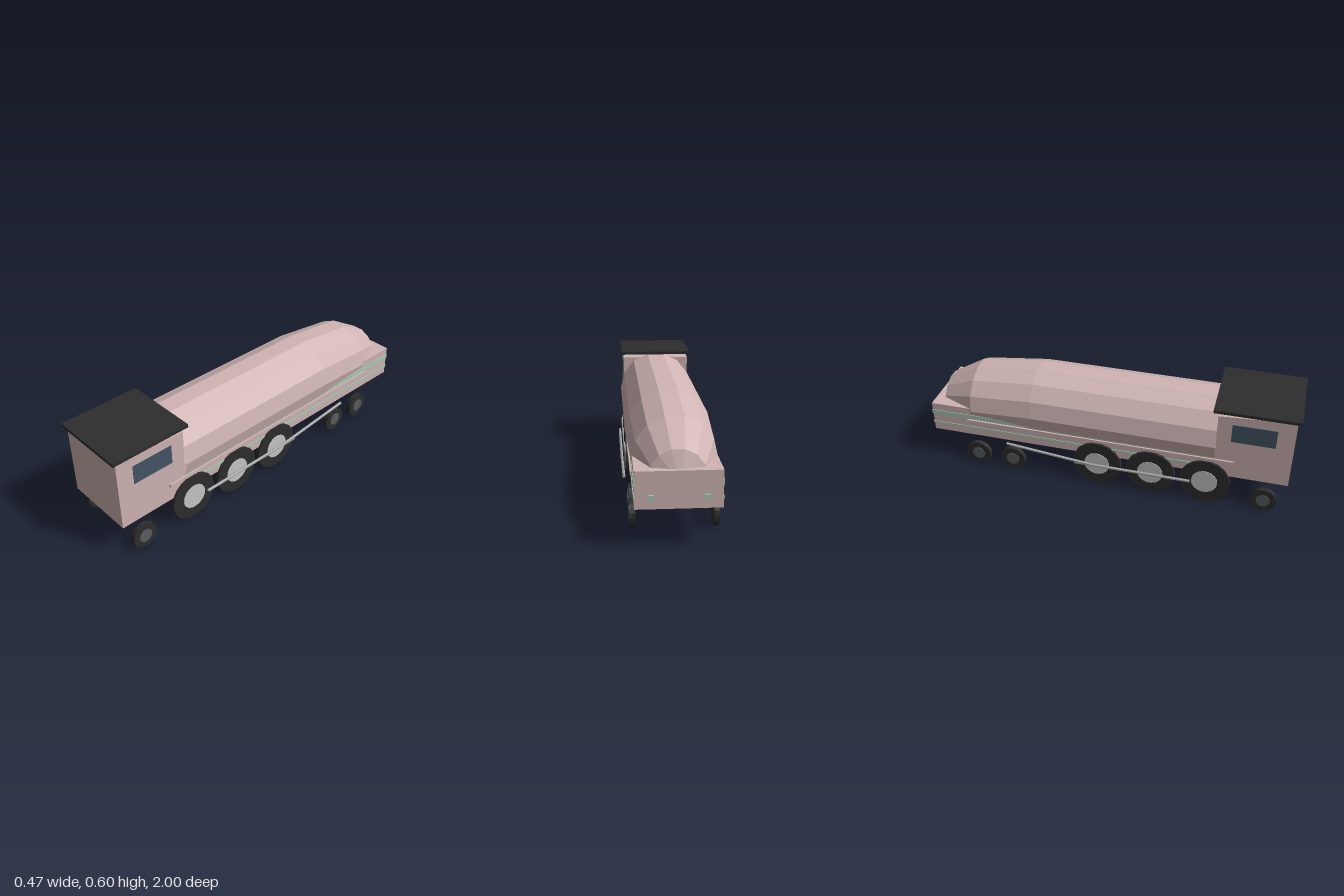
import * as THREE from 'three';

const mat = (name, color) => {
  const m = new THREE.MeshStandardMaterial({ color });
  m.name = name;
  return m;
};

export function createModel() {
  const model = new THREE.Group();
  model.name = 'locomotive';
  const pink = mat('dusty pink paint', 0xd0b5b4);
  const black = mat('black iron', 0x2d2d2d);
  const silver = mat('silver hub', 0xc6c6c6);
  const steel = mat('rod steel', 0xa4a4a4);
  const darkGrey = mat('dark grey hub', 0x5a5e60);
  const glass = mat('blue grey glass', 0x445566);
  const green = mat('pale green trim', 0xa6cdb4);

  const add = (name, geometry, material, x = 0, y = 0, z = 0) => {
    const mesh = new THREE.Mesh(geometry, material);
    mesh.name = name;
    mesh.position.set(x, y, z);
    model.add(mesh);
    return mesh;
  };
  // Box given by its limits on each axis
  const box = (name, material, x0, x1, y0, y1, z0, z1) =>
    add(name, new THREE.BoxGeometry(x1 - x0, y1 - y0, z1 - z0), material,
      (x0 + x1) / 2, (y0 + y1) / 2, (z0 + z1) / 2);

  // Lower hull and underframe
  box('hull', pink, -0.195, 0.195, 0.187, 0.36, -0.99, 0.6);
  box('underframe', black, -0.145, 0.145, 0.165, 0.188, -0.94, 0.93);
  box('bellyPlate', pink, -0.05, 0.05, 0.162, 0.166, -0.74, 0.52);

  // Cab with a top that falls towards the boiler
  const side = new THREE.Shape([[-0.98, 0.186], [-0.59, 0.186], [-0.59, 0.56], [-0.98, 0.584]]
    .map(([z, y]) => new THREE.Vector2(z, y)));
  const cab = new THREE.ExtrudeGeometry(side, { depth: 0.39, bevelEnabled: false });
  cab.translate(0, 0, -0.195).rotateY(Math.PI / 2);
  add('cab', cab, pink);
  box('cabRoof', black, -0.208, 0.208, 0.583, 0.6, 0.565, 1);

  // Faceted boiler: rings of [z, centre height, radius], closed by a shallow nose cone
  const rings = [[0.59, 0.372, 0.215], [-0.41, 0.372, 0.215], [-0.76, 0.345, 0.2],
    [-0.94, 0.31, 0.133], [-0.988, 0.305, 0.001]];
  const sides = 14;
  const point = (i, j) => {
    const [z, y, r] = rings[i];
    const a = (j / sides) * Math.PI * 2;
    return [Math.cos(a) * r, y + Math.sin(a) * r, z];
  };
  const verts = [];
  for (let i = 0; i < rings.length - 1; i++) {
    for (let j = 0; j < sides; j++) {
      const a = point(i, j), b = point(i + 1, j), c = point(i + 1, j + 1), d = point(i, j + 1);
      verts.push(...a, ...b, ...d, ...b, ...c, ...d);
    }
  }
  const boiler = new THREE.BufferGeometry();
  boiler.setAttribute('position', new THREE.Float32BufferAttribute(verts, 3));
  boiler.computeVertexNormals();
  add('boiler', boiler, pink);

  // Wheel: faceted tyre with a hub disc on its outer face
  const wheel = (name, s, z, r, hubR, hubMaterial) => {
    const tyre = new THREE.CylinderGeometry(r, r, 0.025, 18).toNonIndexed();
    tyre.computeVertexNormals();
    add(name, tyre, black, s * 0.195, r, z).rotation.z = Math.PI / 2;
    add(name + 'Hub', new THREE.CylinderGeometry(hubR, hubR, 0.008, 18), hubMaterial,
      s * 0.207, r, z).rotation.z = Math.PI / 2;
  };
  // Six-sided rod between two [y, z] points
  const rod = (name, s, [y0, z0], [y1, z1]) => {
    const length = Math.hypot(y1 - y0, z1 - z0);
    const g = new THREE.CylinderGeometry(0.008, 0.008, length, 6).toNonIndexed();
    g.computeVertexNormals();
    add(name, g, steel, s * 0.227, (y0 + y1) / 2, (z0 + z1) / 2)
      .rotation.x = Math.atan2(z1 - z0, y1 - y0);
  };

  for (const s of [1, -1]) {
    const mirrored = (name, material, x0, x1, ...rest) =>
      box(name, material, Math.min(s * x0, s * x1), Math.max(s * x0, s * x1), ...rest);
    mirrored('cabWindow', glass, 0.193, 0.198, 0.415, 0.52, 0.665, 0.89);
    mirrored('runningBoard', pink, 0.19, 0.205, 0.271, 0.289, -0.785, 0.69);
    mirrored('upperStripe', green, 0.193, 0.198, 0.293, 0.318, -0.993, 0.58);
    mirrored('lowerStripe', green, 0.193, 0.198, 0.23, 0.242, -0.993, 0.58);
    mirrored('endLight', green, 0.11, 0.138, 0.228, 0.252, -0.998, -0.989);

    for (const z of [0.55, 0.255, -0.04]) wheel('driveWheel', s, z, 0.134, 0.07, silver);
    for (const z of [0.865, -0.53, -0.735]) wheel('smallWheel', s, z, 0.07, 0.037, darkGrey);
    rod('couplingRod', s, [0.136, 0.475], [0.136, -0.16]);
    rod('mainRod', s, [0.138, -0.08], [0.187, -0.55]);
  }
  return model;
}
